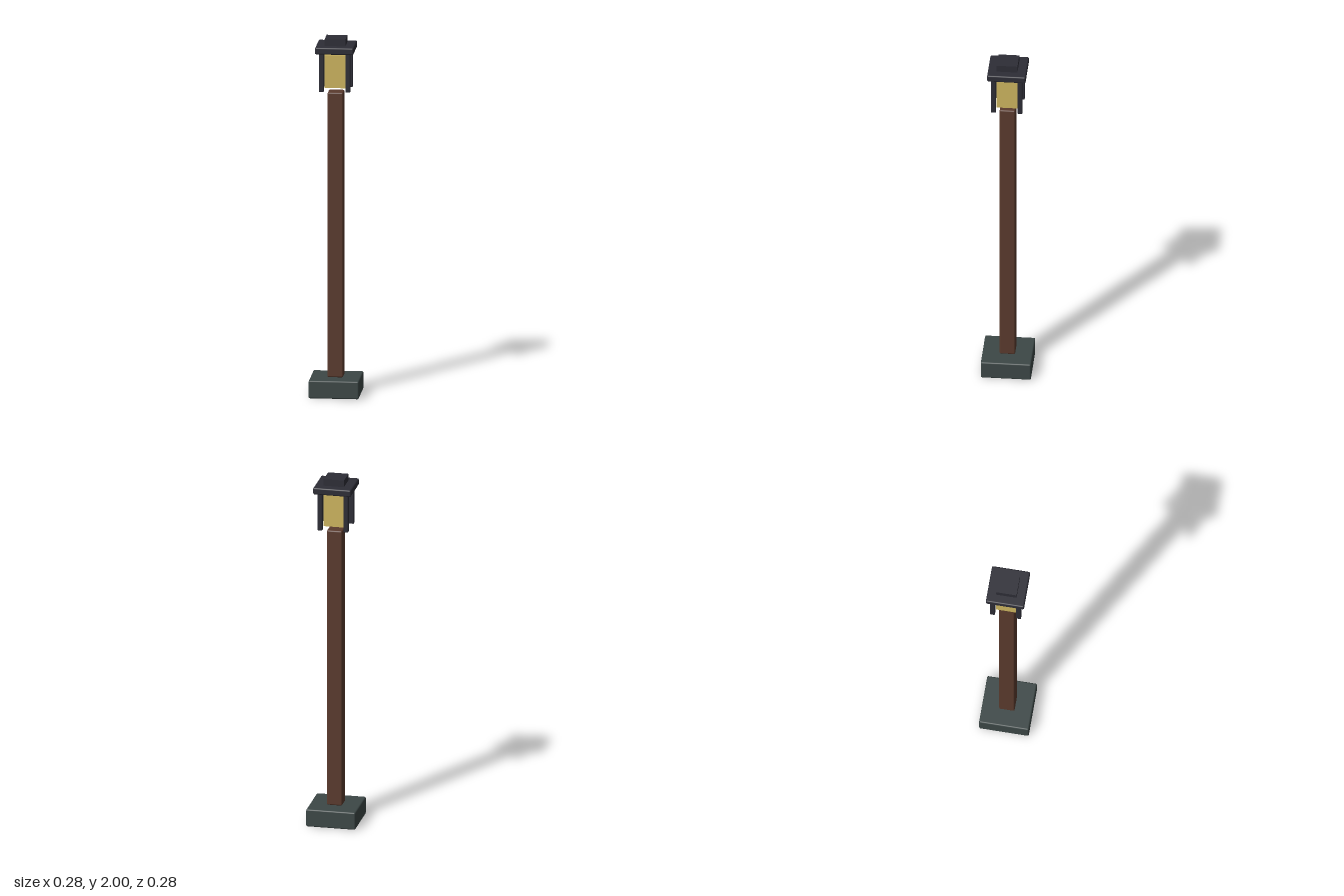
import * as THREE from 'three';
import { RoundedBoxGeometry } from 'three/addons/geometries/RoundedBoxGeometry.js';

function material(name, color) {
  const m = new THREE.MeshStandardMaterial({ color });
  m.name = name;
  return m;
}

export function createModel() {
  const model = new THREE.Group();
  model.name = 'lanternPost';

  const stone = material('stone', 0x3c4746);
  const wood = material('wood', 0x5a3a2d);
  const iron = material('iron', 0x2d2d36);
  const glass = material('glass', 0xcdb55f);

  // Square block between two heights; a radius softens its edges
  function block(name, mat, width, y0, y1, radius = 0, x = 0, z = 0) {
    const h = y1 - y0;
    const geometry = radius
      ? new RoundedBoxGeometry(width, h, width, 3, radius)
      : new THREE.BoxGeometry(width, h, width);
    const mesh = new THREE.Mesh(geometry, mat);
    mesh.name = name;
    mesh.position.set(x, (y0 + y1) / 2, z);
    model.add(mesh);
  }

  // Footing and post
  block('base', stone, 0.276, 0, 0.1, 0.008);
  block('post', wood, 0.086, 0.1, 1.698, 0.008);

  // Lantern glass, with a small gap above the post
  block('lanternGlass', glass, 0.116, 1.727, 1.91);

  // Corner bars
  for (const sx of [-1, 1]) {
    for (const sz of [-1, 1]) {
      block('cornerBar', iron, 0.027, 1.709, 1.926, 0.004, sx * 0.0725, sz * 0.0725);
    }
  }

  // Roof and cap
  block('roof', iron, 0.212, 1.923, 1.962, 0.008);
  block('cap', iron, 0.114, 1.96, 2);

  return model;
}
